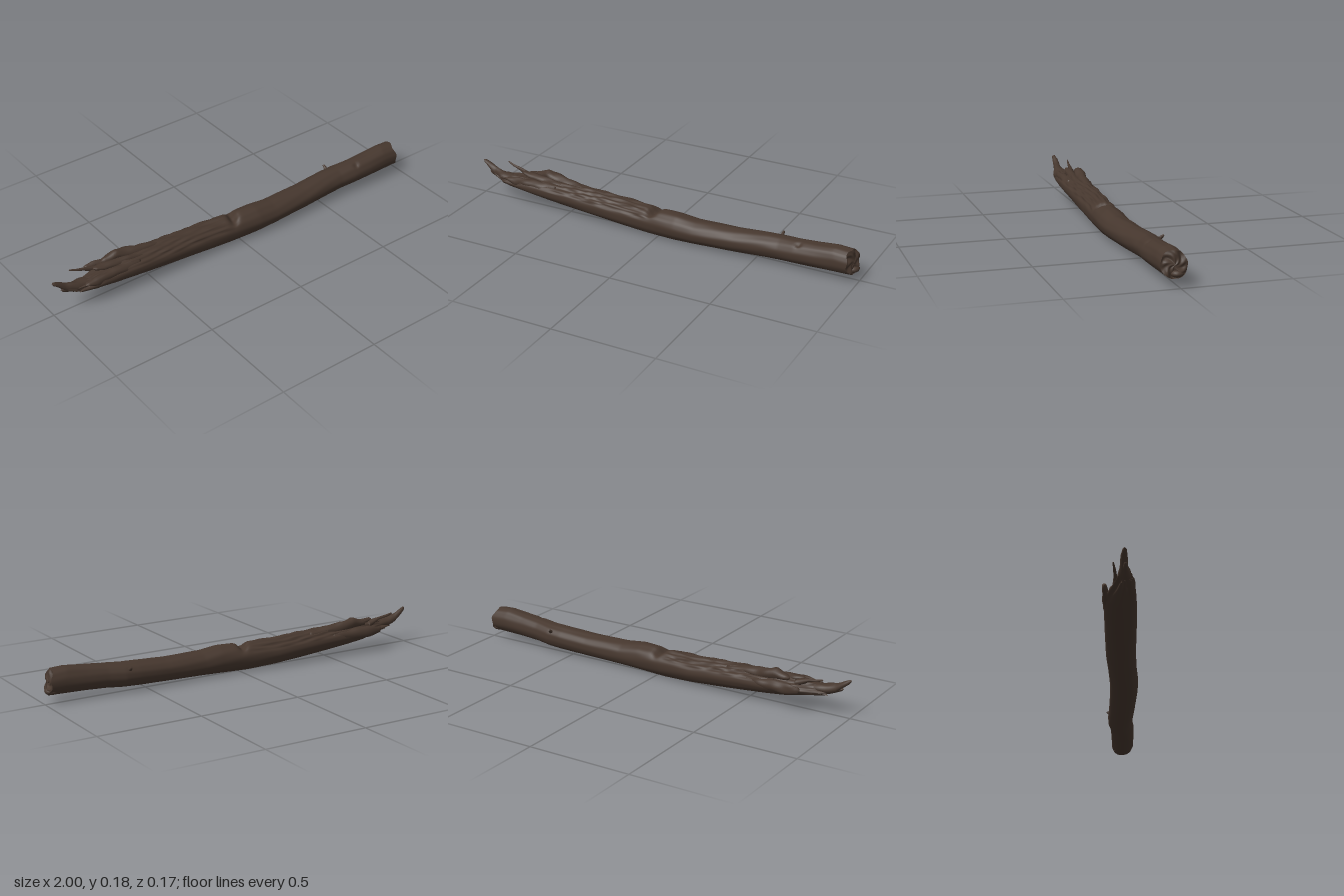
import * as THREE from 'three';

const TAU = Math.PI * 2;

// Stations: [x, yBottom, yTop, zBack, zFront]
const TRUNK = [
  [-0.86, 0.088, 0.135, -0.022, 0.04], [-0.82, 0.08, 0.14, -0.035, 0.048], [-0.77, 0.073, 0.145, -0.055, 0.055],
  [-0.7, 0.062, 0.15, -0.078, 0.06], [-0.6, 0.05, 0.153, -0.081, 0.064], [-0.4, 0.03, 0.148, -0.076, 0.066],
  [-0.2, 0.013, 0.14, -0.07, 0.068], [-0.05, 0.006, 0.138, -0.06, 0.074], [0.1, 0.008, 0.139, -0.052, 0.084],
  [0.2, 0.012, 0.128, -0.05, 0.083], [0.4, 0.019, 0.13, -0.053, 0.075], [0.55, 0.025, 0.139, -0.058, 0.067],
  [0.62, 0.028, 0.141, -0.057, 0.066], [0.7, 0.034, 0.147, -0.045, 0.074], [0.8, 0.038, 0.155, -0.04, 0.077],
  [0.9, 0.041, 0.166, -0.037, 0.077], [0.97, 0.043, 0.162, -0.036, 0.077],
];

// Splinters left standing on the torn end and along the broken upper side
const SPLINTERS = {
  longSpire: [[-1, 0.176, 0.19, -0.004, 0.012], [-0.97, 0.15, 0.178, -0.012, 0.014], [-0.93, 0.115, 0.155, -0.016, 0.02],
    [-0.88, 0.095, 0.145, -0.02, 0.034], [-0.8, 0.085, 0.135, -0.03, 0.04], [-0.7, 0.08, 0.12, -0.02, 0.03]],
  lowerSpire: [[-0.96, 0.128, 0.14, 0.002, 0.014], [-0.9, 0.1, 0.125, -0.01, 0.026], [-0.84, 0.085, 0.12, -0.015, 0.042], [-0.74, 0.08, 0.12, 0, 0.05]],
  thinSpike: [[-0.885, 0.173, 0.181, -0.046, -0.04], [-0.85, 0.16, 0.172, -0.043, -0.032], [-0.81, 0.15, 0.165, -0.04, -0.026], [-0.74, 0.11, 0.15, -0.045, -0.01]],
  backFlake: [[-0.79, 0.105, 0.131, -0.09, -0.072], [-0.74, 0.09, 0.136, -0.09, -0.062], [-0.66, 0.08, 0.138, -0.087, -0.045], [-0.5, 0.08, 0.125, -0.075, -0.03]],
  topHump: [[-0.72, 0.14, 0.16, -0.052, -0.03], [-0.68, 0.13, 0.172, -0.058, -0.016], [-0.645, 0.13, 0.186, -0.06, -0.012],
    [-0.59, 0.12, 0.172, -0.06, -0.006], [-0.5, 0.12, 0.16, -0.05, 0], [-0.38, 0.11, 0.14, -0.04, 0]],
  frontShard: [[-0.85, 0.122, 0.13, 0.03, 0.044], [-0.79, 0.1, 0.142, 0.015, 0.054], [-0.7, 0.1, 0.148, 0.01, 0.055], [-0.55, 0.09, 0.14, 0.01, 0.05]],
  midShard: [[-0.78, 0.15, 0.163, -0.02, 0], [-0.73, 0.13, 0.162, -0.03, 0.012], [-0.6, 0.12, 0.157, -0.02, 0.02], [-0.5, 0.11, 0.145, -0.01, 0.02]],
};

function sample(stations, x) {
  let k = 0;
  while (k < stations.length - 2 && x > stations[k + 1][0]) k++;
  const a = stations[k], b = stations[k + 1];
  const t = THREE.MathUtils.clamp((x - a[0]) / (b[0] - a[0]), 0, 1);
  return a.map((v, i) => v + (b[i] - v) * t);
}

// Closed tube of rings: point(u, angle) returns [x, y, z]
function skin(nu, nv, point, flip = false) {
  const pos = [], idx = [];
  for (let i = 0; i <= nu; i++) for (let j = 0; j < nv; j++) pos.push(...point(i / nu, j / nv * TAU));
  for (let i = 0; i < nu; i++) {
    for (let j = 0; j < nv; j++) {
      const a = i * nv + j, b = i * nv + (j + 1) % nv, c = a + nv, d = b + nv;
      if (flip) idx.push(a, d, c, a, b, d);
      else idx.push(a, c, d, a, d, b);
    }
  }
  const g = new THREE.BufferGeometry();
  g.setAttribute('position', new THREE.Float32BufferAttribute(pos, 3));
  g.setIndex(idx);
  g.computeVertexNormals();
  return g;
}

// Long grain running along the wood
const grain = (x, a) =>
  0.5 * Math.sin(5 * a + 3 * x + Math.sin(9 * x)) + 0.35 * Math.sin(11 * a - 7 * x + 2 * Math.sin(6 * x + a)) +
  0.3 * Math.sin(23 * x + 2 * a) * Math.sin(3 * a + 13 * x);

// Trunk surface, with the torn upper side to the left of the notch
function trunkPoint(u, a) {
  const x = -0.86 + 1.83 * u;
  const [, y0, y1, z0, z1] = sample(TRUNK, x);
  const up = Math.max(0, Math.sin(a));
  const torn = THREE.MathUtils.smoothstep(-x, 0.02, 0.12) * THREE.MathUtils.smoothstep(Math.sin(a), 0.25, 0.6);
  let r = 1 + grain(x, a) * (0.014 + 0.016 * up);
  r += torn * (0.055 * Math.sin(17 * a + 4 * Math.sin(8 * x)) + 0.035 * Math.sin(41 * x + 7 * a) - 0.04);
  let y = (y0 + y1) / 2 + (y1 - y0) / 2 * r * Math.sin(a);
  const z = (z0 + z1) / 2 + (z1 - z0) / 2 * r * Math.cos(a);
  y -= 0.03 * Math.exp(-(((x + 0.02 + 0.3 * z) / 0.022) ** 2)) * up ** 3;   // notch
  y -= 0.008 * Math.exp(-(((x - 0.72) / 0.012) ** 2) - ((a - 1) / 0.25) ** 2); // small knot hollow
  // slanting cut on the right, ragged tear on the left
  const cut = u ** 12 * (-0.18 * (z - 0.02) - 0.16 * (y - 0.1) + 0.005 * Math.sin(5 * a));
  const tear = (1 - u) ** 14 * (0.02 * Math.sin(5 * a + 1) + 0.014 * Math.sin(9 * a));
  return [x + cut + tear, Math.max(0, y), z];
}

// Uneven end face closing the trunk
function endPoint(u, mid, depth) {
  return (t, a) => {
    const rim = trunkPoint(u, a), s = 1 - t;
    const bump = depth * (Math.sin(3 * a + 4 * s) * s * 0.5 + Math.sin(7 * a + 9 * s) * 0.35 * s + 0.6 * t) * Math.min(1, 4 * t);
    return [mid[0] + (rim[0] - mid[0]) * s + bump, mid[1] + (rim[1] - mid[1]) * s, mid[2] + (rim[2] - mid[2]) * s];
  };
}

// Tapered jagged sliver with both ends closed
function splinter(stations, phase) {
  const first = stations[0][0], last = stations[stations.length - 1][0];
  return skin(30, 12, (u, a) => {
    const x = first + (last - first) * u;
    const [, y0, y1, z0, z1] = sample(stations, x);
    const close = u === 0 || u === 1 ? 0 : 1;
    const r = close * (1 + 0.1 * Math.sin(3 * a + 30 * x + phase) + 0.08 * Math.sin(70 * x + 2 * a + phase));
    return [x, (y0 + y1) / 2 + (y1 - y0) / 2 * r * Math.sin(a), (z0 + z1) / 2 + (z1 - z0) / 2 * r * Math.cos(a)];
  });
}

export function createModel() {
  const group = new THREE.Group();
  const bark = new THREE.MeshStandardMaterial({ color: 0x46372e });
  bark.name = 'darkBark';
  const add = (name, geometry) => {
    const m = new THREE.Mesh(geometry, bark);
    m.name = name;
    group.add(m);
    return m;
  };

  add('trunk', skin(220, 64, trunkPoint));
  add('cutEnd', skin(10, 64, endPoint(1, [0.968, 0.1, 0.02], 0.014)));
  add('tornEnd', skin(8, 64, endPoint(0, [-0.86, 0.112, 0.009], -0.012), true));

  Object.entries(SPLINTERS).forEach(([name, s], i) => add(name, splinter(s, i * 1.7)));

  // Ragged lip at the foot of the cut end
  const lip = add('endLip', new THREE.IcosahedronGeometry(1, 3));
  lip.scale.set(0.03, 0.018, 0.03);
  lip.position.set(0.967, 0.064, 0.005);

  // Short twig stub on the upper back side
  const stub = add('twigStub', new THREE.CylinderGeometry(0.005, 0.011, 0.035, 10));
  stub.position.set(0.6, 0.12, -0.05);
  stub.rotation.x = -0.95;
  return group;
}
